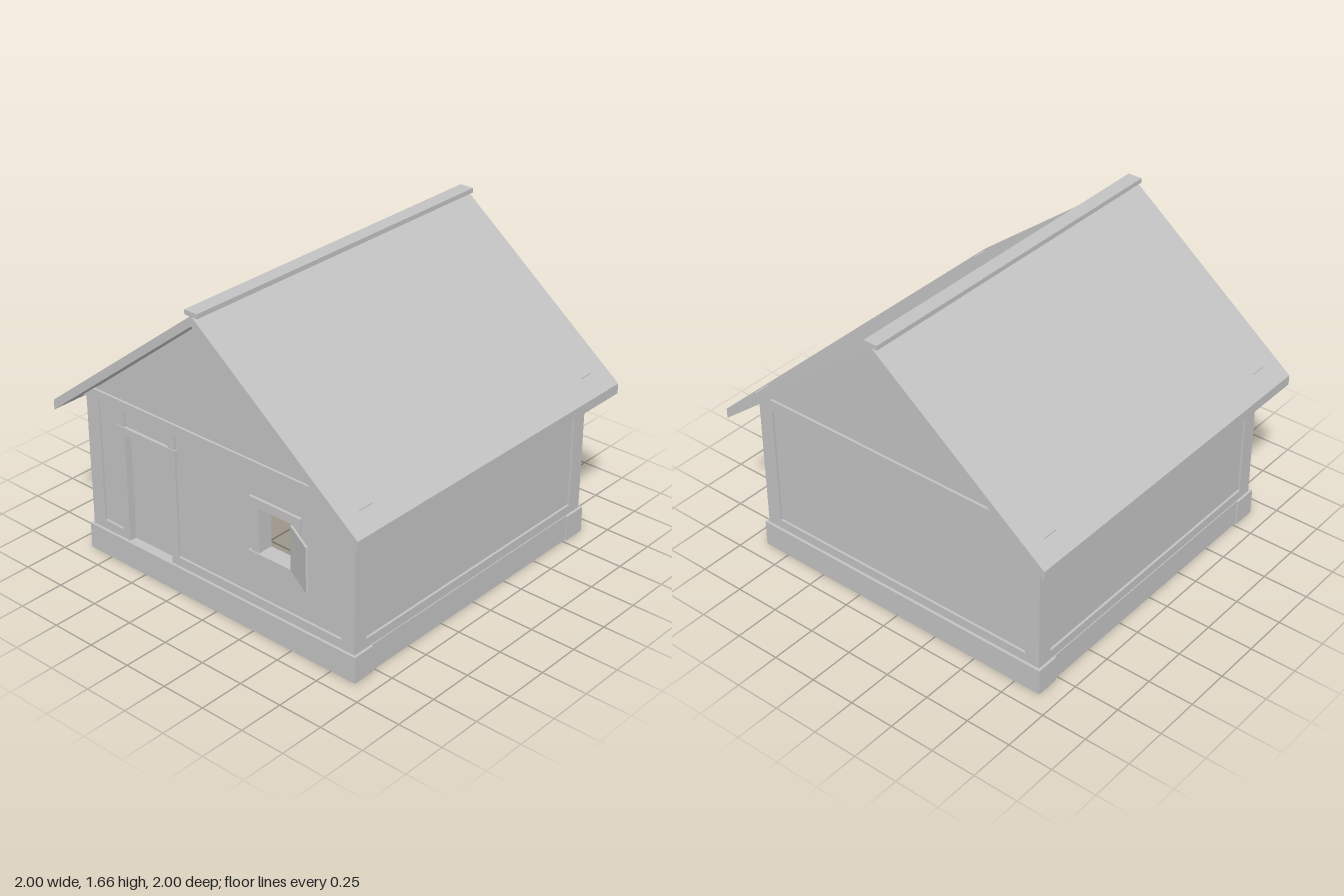
import * as THREE from 'three';

export function createModel() {
  const house = new THREE.Group();
  house.name = 'house';
  const plaster = new THREE.MeshStandardMaterial({ color: 0xc2c2c2 });
  plaster.name = 'light grey';

  const add = (name, geometry, parent = house) => {
    const mesh = new THREE.Mesh(geometry, plaster);
    mesh.name = name;
    parent.add(mesh);
    return mesh;
  };
  // Box given by its limits on each axis
  const box = (name, x0, x1, y0, y1, z0, z1, parent) => {
    const g = new THREE.BoxGeometry(x1 - x0, y1 - y0, z1 - z0);
    g.translate((x0 + x1) / 2, (y0 + y1) / 2, (z0 + z1) / 2);
    return add(name, g, parent);
  };
  const outline = (pts, Type = THREE.Shape) => new Type(pts.map(([x, y]) => new THREE.Vector2(x, y)));
  const slab = (name, shape, z0, z1) => {
    const g = new THREE.ExtrudeGeometry(shape, { depth: z1 - z0, bevelEnabled: false });
    g.translate(0, 0, z0);
    return add(name, g);
  };

  const base = 0.145;    // top of the foundation
  const sill = 0.195;    // top of the sill beams
  const eave = 0.88;     // underside of the tie beams
  const face = 0.885;    // outer face of the timber frame
  const inner = 0.8;     // inner face of the timber frame
  const panelOut = 0.872, panelIn = 0.815;

  // Foundation ring, posts, sills and panels
  for (const s of [-1, 1]) {
    const span = (a, b) => (s > 0 ? [a, b] : [-b, -a]);
    box('foundationEnd', -0.9, 0.9, 0, base, ...span(0.77, 0.9));
    box('foundationSide', ...span(0.77, 0.89), 0, base, -0.77, 0.77);
    box('sideSill', ...span(inner, face), base, sill, -inner, inner);
    box('sidePanel', ...span(panelIn, panelOut), sill, 0.9, -inner, inner);
    box('tieBeam', -0.91, 0.91, eave, 0.94, ...span(inner, face));
    for (const t of [-1, 1]) {
      box('cornerPost', ...span(inner, face), base, eave, ...(t > 0 ? [inner, face] : [-face, -inner]));
    }
    slab('gable', outline([[-0.83, 0.94], [0.83, 0.94], [0, 1.592]]), ...span(panelIn, panelOut));
  }
  box('backSill', -inner, inner, base, sill, -face, -inner);
  box('backPanel', -inner, inner, sill, eave, -panelOut, -panelIn);
  box('frontSillRight', -inner, -0.62, base, sill, inner, face);
  box('frontSillLeft', -0.315, inner, base, sill, inner, face);

  // Front panel with a door notch and a window hole
  const front = outline([
    [-inner, sill], [-0.62, sill], [-0.62, 0.76], [-0.315, 0.76],
    [-0.315, sill], [inner, sill], [inner, eave], [-inner, eave],
  ]);
  front.holes.push(outline([[0.285, 0.45], [0.285, 0.7], [0.5, 0.7], [0.5, 0.45]], THREE.Path));
  slab('frontPanel', front, panelIn, panelOut);

  // Door and its frame
  box('doorJambRight', -0.667, -0.62, base, eave, inner, face);
  box('doorJambLeft', -0.315, -0.268, base, eave, inner, face);
  box('doorLintel', -0.67, -0.262, 0.76, 0.8, inner, 0.889);
  box('door', -0.617, -0.318, base, 0.752, 0.81, 0.845);

  // Window frame
  box('windowJambRight', 0.235, 0.285, 0.45, 0.7, inner, face);
  box('windowJambLeft', 0.5, 0.545, 0.45, 0.7, inner, face);
  box('windowHeader', 0.228, 0.552, 0.7, 0.747, inner, 0.888);
  box('windowSill', 0.22, 0.56, 0.415, 0.45, inner, 0.892);

  // Open shutter, swung out on its hinge
  const hinge = new THREE.Group();
  hinge.name = 'windowShutter';
  hinge.position.set(0.502, 0, face);
  hinge.rotation.y = -Math.atan2(0.095, 0.183);
  box('shutterBoard', 0, 0.207, 0.452, 0.697, 0, 0.012, hinge);
  house.add(hinge);

  // Pitched roof with plumb-cut eaves, and the ridge cap
  slab('roof', outline([[-1, 0.81], [0, 1.592], [1, 0.81], [1, 0.865], [0, 1.645], [-1, 0.865]]), -1, 1);
  box('ridgeCap', -0.04, 0.04, 1.64, 1.665, -1, 1);

  return house;
}
